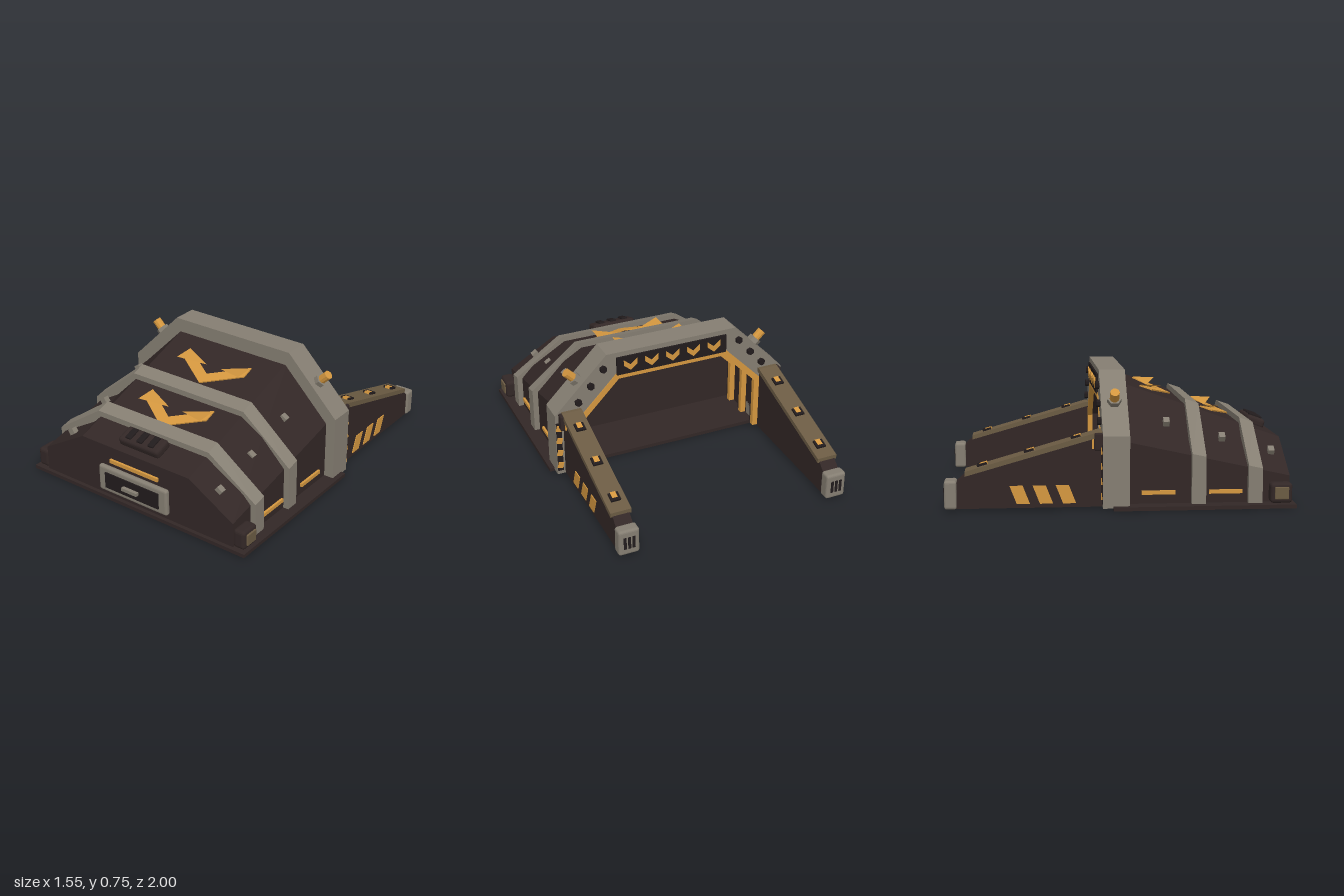
import * as THREE from 'three';
import { RoundedBoxGeometry } from 'three/addons/geometries/RoundedBoxGeometry.js';

const mat = (name, color, side = THREE.FrontSide) => {
  const m = new THREE.MeshStandardMaterial({ color, side, flatShading: true });
  m.name = name;
  return m;
};

export function createModel() {
  const root = new THREE.Group();
  root.name = 'bunkerGarage';
  const hull = mat('dark hull', 0x322726, THREE.DoubleSide);
  const grey = mat('warm grey', 0x857e72);
  const gold = mat('gold', 0xd4973f, THREE.DoubleSide);
  const olive = mat('olive brown', 0x6b5b43);
  const black = mat('near black', 0x211b1c);

  const add = (name, geo, m, x = 0, y = 0, z = 0, rx = 0, rz = 0) => {
    const mesh = new THREE.Mesh(geo, m);
    mesh.name = name;
    mesh.position.set(x, y, z);
    mesh.rotation.set(rx, 0, rz);
    root.add(mesh);
    return mesh;
  };
  const box = (w, h, d) => new THREE.BoxGeometry(w, h, d);
  const rbox = (w, h, d, r = 0.015) => new RoundedBoxGeometry(w, h, d, 2, r);
  const extrude = (pts, depth) => new THREE.ExtrudeGeometry(
    new THREE.Shape(pts.map(p => new THREE.Vector2(p[0], p[1]))), { depth, bevelEnabled: false });
  // Shape x runs toward -z; thickness is centred on x = 0
  const sideExtrude = (pts, w) => extrude(pts, w).translate(0, 0, -w / 2).rotateY(Math.PI / 2);

  // Chamfered arch section: half width, shoulder height, top half width, top height
  const section = (w, ys, tw, yt, y0 = 0.01) =>
    [[w, y0], [w, ys], [tw, yt], [-tw, yt], [-w, ys], [-w, y0]];
  const grow = ([w, ys, tw, yt], d) => [w + d, ys + 0.4 * d, tw + 0.4 * d, yt + d];
  const hullAt = z => [0.685, 0.17 + (0.94 - z) * 0.22, 0.388, 0.345 + (0.94 - z) * 0.352];

  // Tapered body between a front and a back section
  const loft = (f, zf, b, zb, capBack) => {
    const v = [], n = f.length;
    const F = i => [...f[i % n], zf], B = i => [...b[i % n], zb];
    for (let i = 0; i < n; i++) v.push(...F(i), ...B(i), ...B(i + 1), ...F(i), ...B(i + 1), ...F(i + 1));
    for (let i = 1; i < n - 1; i++) {
      v.push(...F(0), ...F(i), ...F(i + 1));
      if (capBack) v.push(...B(0), ...B(i + 1), ...B(i));
    }
    const g = new THREE.BufferGeometry();
    g.setAttribute('position', new THREE.Float32BufferAttribute(v, 3));
    g.computeVertexNormals();
    return g;
  };
  const archGeo = (outer, inner, depth) =>
    extrude([...section(...outer), ...section(...inner).reverse()], depth);

  // Base, hull and hollow bay
  add('basePlate', box(1.55, 0.022, 1.025), hull, 0, 0.011, 0.45);
  add('hull', loft(section(...hullAt(0.94)), 0.94, section(...hullAt(0)), 0, false), hull);
  const bayFront = [0.595, 0.355, 0.355, 0.6], bayEnd = [0.595, 0.29, 0.35, 0.535];
  add('bayInterior', loft(section(...bayEnd, 0.025), 0.27, section(...bayFront, 0.025), -0.03, false), hull);

  // Ribs and main portal
  for (const z of [0.78, 0.46])
    add('rib', loft(section(...grow(hullAt(z), 0.034)), z,
      section(...grow(hullAt(z - 0.08), 0.034)), z - 0.08, true), grey);
  add('portalArch', archGeo([0.745, 0.415, 0.415, 0.75], bayFront, 0.15), grey, 0, 0, -0.12);
  [-0.124, 0.04, 0.2].forEach(z => {
    const t = Math.max(0, (z + 0.03) / 0.3);
    const p = bayFront.map((a, i) => a + (bayEnd[i] - a) * t);
    add('bayTrim', archGeo(grow(p, 0.002), grow(p, -0.035), 0.03), gold, 0, 0.012, z);
    add('bayTrimBacking', archGeo(grow(p, 0.002), grow(p, -0.02), 0.04), hull, 0, 0.012, z + 0.03);
  });

  // Sign above the portal with five chevrons
  const vShape = (w, rise, t) => [[0, 0], [w, rise], [w, rise + t], [0, t], [-w, rise + t], [-w, rise]];
  add('signPanel', box(0.71, 0.115, 0.012), black, 0, 0.662, -0.125);
  for (let i = -2; i <= 2; i++)
    add('signChevron', extrude(vShape(0.042, 0.035, 0.035), 0.006), gold, i * 0.135, 0.627, -0.137);

  // Roof chevrons with raised wing tips
  const pitch = Math.atan(0.352);
  const roofY = z => hullAt(z)[3];
  for (const z of [0.245, 0.605]) {
    add('roofChevron', extrude(vShape(0.225, 0.145, 0.078), 0.008).translate(0, -0.105, 0).rotateX(-Math.PI / 2),
      gold, 0, roofY(z) + 0.002, z, pitch);
    for (const s of [-1, 1]) {
      const g = new THREE.BufferGeometry();
      const y = roofY(z);
      g.setAttribute('position', new THREE.Float32BufferAttribute([
        s * 0.225, y + 0.05, z - 0.105, s * 0.225, y + 0.045, z + 0.025, s * 0.05, y + 0.018, z - 0.04], 3));
      g.computeVertexNormals();
      add('chevronWing', g, gold);
    }
  }

  // Roof vent
  add('roofVent', rbox(0.29, 0.06, 0.115, 0.02), hull, 0, 0.395, 0.85, pitch);
  for (const x of [-0.08, 0, 0.08])
    add('ventSlot', rbox(0.04, 0.02, 0.08, 0.006), black, x, 0.425, 0.857, pitch);

  // Front hatch
  add('hatchFrame', rbox(0.5, 0.165, 0.035), grey, 0, 0.14, 0.953);
  add('hatchPanel', box(0.39, 0.1, 0.02), black, 0, 0.14, 0.968);
  add('hatchHandle', box(0.11, 0.02, 0.025), grey, 0, 0.14, 0.987);
  add('frontStrip', box(0.35, 0.022, 0.018), gold, 0, 0.26, 0.946);

  // Mirrored side details
  const legSlope = -Math.atan(0.285);
  for (const s of [-1, 1]) {
    // Side strips, studs and corner lamps
    for (const z of [0.195, 0.575]) add('sideStrip', box(0.018, 0.022, 0.19), gold, s * 0.69, 0.086, z);
    for (const z of [0.255, 0.575, 0.86]) {
      const h = hullAt(z);
      add('slopeStud', box(0.04, 0.035, 0.035), grey, s * 0.54, (h[1] + h[3]) / 2 + 0.01, z, 0, -s * 0.6);
    }
    add('cornerHousing', rbox(0.078, 0.115, 0.125, 0.02), hull, s * 0.722, 0.083, 0.88);
    add('cornerPlate', rbox(0.014, 0.07, 0.08, 0.005), olive, s * 0.763, 0.085, 0.88);

    // Beacon on the chamfer
    add('beaconBase', new THREE.CylinderGeometry(0.04, 0.04, 0.035, 6), grey, s * 0.588, 0.593, -0.045, 0, -s * Math.PI / 4);
    add('beacon', new THREE.CylinderGeometry(0.027, 0.027, 0.07, 10), gold, s * 0.617, 0.622, -0.045, 0, -s * Math.PI / 4);

    // Portal bolts and hazard marks
    for (const [x, y] of [[0.44, 0.665], [0.52, 0.57], [0.6, 0.48]])
      add('portalBolt', new THREE.CylinderGeometry(0.022, 0.022, 0.024, 6), black, s * x, y, -0.13, Math.PI / 2);
    add('hazardBacking', box(0.034, 0.33, 0.006), black, s * 0.725, 0.2, -0.122);
    for (let i = 0; i < 4; i++)
      add('hazardMark', box(0.034, 0.038, 0.006), gold, s * 0.725, 0.075 + i * 0.085, -0.126, 0, s * 0.25);

    // Ramp arm
    const x = s * 0.645;
    add('armBody', sideExtrude([[0.1, 0.012], [0.93, 0.012], [0.93, 0.155], [0.88, 0.2], [0.1, 0.42]], 0.1), hull, x);
    add('armTopPlate', sideExtrude([[0.12, 0.41], [0.88, 0.195], [0.88, 0.222], [0.14, 0.435], [0.12, 0.435]], 0.124), olive, x);
    add('armBracket', rbox(0.03, 0.1, 0.05, 0.01), hull, s * 0.71, 0.38, -0.14);
    add('armMarker', box(0.01, 0.07, 0.012), gold, s * 0.697, 0.375, -0.172);
    for (const z of [-0.265, -0.525, -0.785]) {
      const y = 0.44 + (z + 0.12) * 0.285;
      add('armClip', box(0.058, 0.022, 0.056), black, x, y, z, legSlope);
      add('armClipLight', box(0.032, 0.022, 0.042), gold, x, y + 0.004, z + 0.01, legSlope);
    }
    for (let i = 0; i < 3; i++) {
      const a = 0.267 + i * 0.128;
      add('armStripe', sideExtrude([[a, 0.035], [a + 0.073, 0.035], [a + 0.113, 0.138], [a + 0.04, 0.138]], 0.008), gold, s * 0.696);
    }
    add('armEndCap', rbox(0.123, 0.16, 0.07), grey, x, 0.09, -0.961);
    for (let i = -1; i <= 1; i++)
      add('endCapSlot', box(0.016, 0.075, 0.006), black, x + i * 0.026, 0.09, -0.997);
  }
  return root;
}
